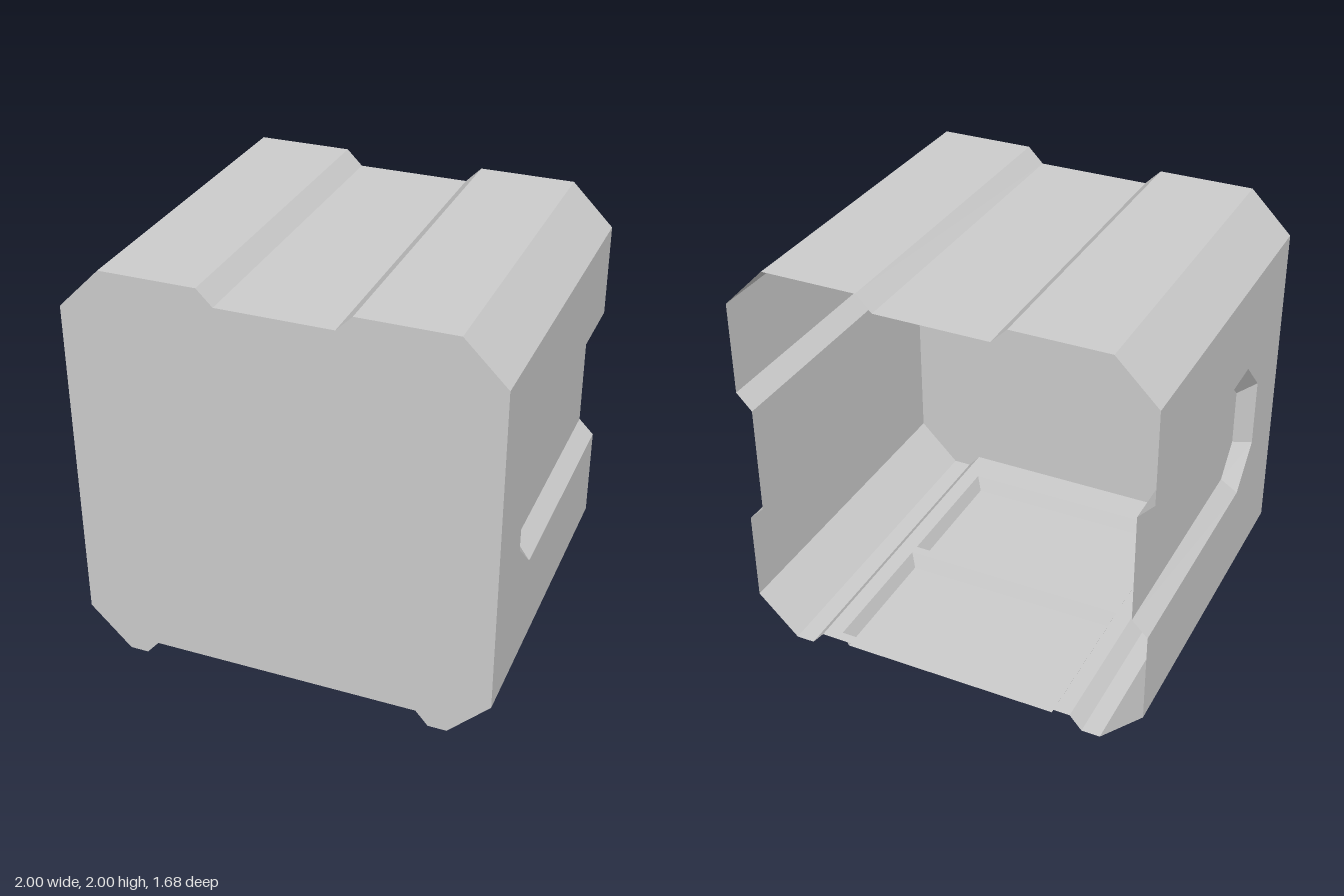
import * as THREE from 'three';

const FRONT = 0.84, BACK = -0.84, FLOOR = 0.07;
const material = new THREE.MeshStandardMaterial({
  color: 0xcccccc, flatShading: true, side: THREE.DoubleSide,
});

function addMesh(parent, name, geometry) {
  const mesh = new THREE.Mesh(geometry, material);
  mesh.name = name;
  parent.add(mesh);
}

// Strip of flat quads between two matching 3D paths
function strip(a, b) {
  const p = [];
  for (let i = 0; i + 1 < a.length; i++) {
    p.push(...a[i], ...b[i], ...a[i + 1], ...a[i + 1], ...b[i], ...b[i + 1]);
  }
  const g = new THREE.BufferGeometry();
  g.setAttribute('position', new THREE.Float32BufferAttribute(p, 3));
  g.computeVertexNormals();
  return g;
}

// Flat sheet from a 2D outline, placed in space by a rule
function sheet(outline, place, holes = []) {
  const toVec = ([u, v]) => new THREE.Vector2(u, v);
  const shape = new THREE.Shape(outline.map(toVec));
  for (const h of holes) shape.holes.push(new THREE.Path(h.map(toVec)));
  const g = new THREE.ShapeGeometry(shape);
  const pos = g.attributes.position;
  for (let i = 0; i < pos.count; i++) pos.setXYZ(i, ...place(pos.getX(i), pos.getY(i)));
  g.computeVertexNormals();
  return g;
}

// Sweep an x-y path from front to back
const sweep = (path) => strip(
  path.map(([x, y]) => [x, y, FRONT]),
  path.map(([x, y]) => [x, y, BACK]),
);
const mirrored = (half) => half.map(([x, y]) => [-x, y]).reverse();

export function createModel() {
  const model = new THREE.Group();
  model.name = 'openBackHousing';

  // Half profiles: chamfered shoulder with roof groove, and bottom rail
  const roofHalf = [[1, 1.8], [0.8, 2], [0.345, 2], [0.27, 1.925]];
  const railHalf = [[0.65, FLOOR], [0.71, 0], [0.8, 0], [1, 0.2]];
  const roof = [...roofHalf, ...mirrored(roofHalf)];

  addMesh(model, 'roof', sweep(roof));
  addMesh(model, 'frontWall', sheet(
    [...railHalf, ...roof, ...mirrored(railHalf)], (x, y) => [x, y, FRONT]));

  // Side recess, open toward the back: [z, y] rim and bed
  const rim = [[BACK, 1.35], [0.335, 1.35], [0.52, 1.17], [0.52, 0.835], [0.335, 0.655], [BACK, 0.655]];
  const bed = [[BACK, 1.27], [0.305, 1.27], [0.44, 1.14], [0.44, 0.865], [0.305, 0.73], [BACK, 0.73]];
  const flip = (pts) => pts.map(([z, y]) => [-z, y]);
  const bedX = 0.925;

  for (const side of [1, -1]) {
    const half = new THREE.Group();
    half.name = side > 0 ? 'leftSide' : 'rightSide';
    half.scale.x = side;
    addMesh(half, 'bottomRail', sweep(railHalf));
    addMesh(half, 'sideWall', sheet(
      flip([[FRONT, 0.2], [FRONT, 1.8], [BACK, 1.8], ...rim, [BACK, 0.2]]),
      (u, y) => [1, y, -u]));
    addMesh(half, 'recessBevel', strip(
      bed.map(([z, y]) => [bedX, y, z]), rim.map(([z, y]) => [1, y, z])));
    addMesh(half, 'recessBed', sheet(flip(bed), (u, y) => [bedX, y, -u]));
    model.add(half);
  }

  // Floor scoops: bevelled sides and front, open at the back
  const tray = (w, z0, z1) => [[w, z0], [w, z1], [-w, z1], [-w, z0]];
  const spans = [[-0.79, -0.09], [-0.04, 0.67]];
  const openings = spans.map(([z0, z1]) => tray(0.57, z0, z1));
  spans.forEach(([z0, z1], i) => {
    const base = tray(0.54, z0, z1 - 0.03);
    const scoop = new THREE.Group();
    scoop.name = i ? 'frontScoop' : 'rearScoop';
    addMesh(scoop, 'scoopBevel', strip(
      base.map(([x, z]) => [x, 0, z]), openings[i].map(([x, z]) => [x, FLOOR, z])));
    addMesh(scoop, 'scoopBase', sheet(base, (x, z) => [x, 0, z]));
    model.add(scoop);
  });
  addMesh(model, 'floor', sheet(
    tray(0.65, BACK, FRONT), (x, z) => [x, FLOOR, z], openings));

  return model;
}
